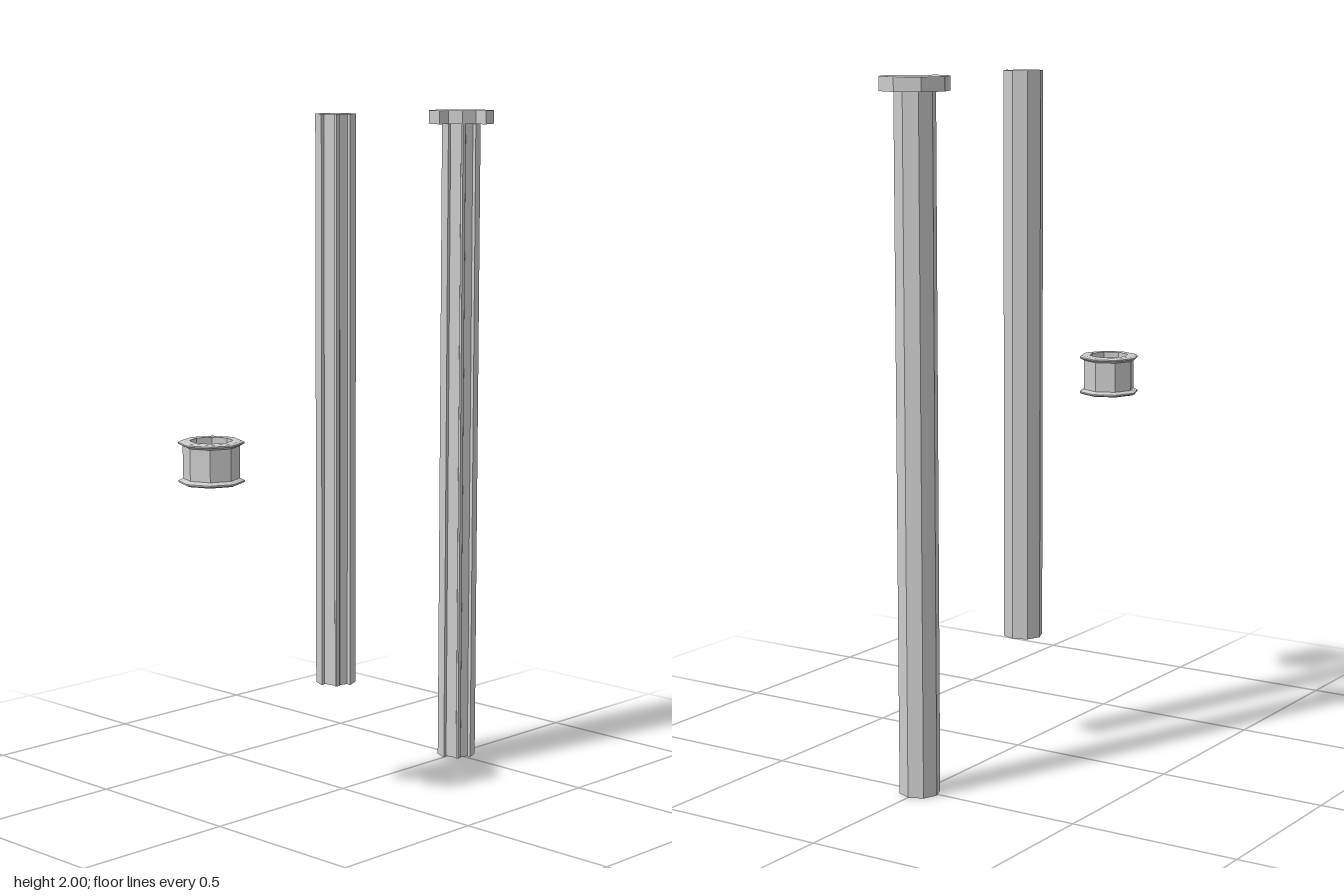
import * as THREE from 'three';

const grey = new THREE.MeshStandardMaterial({ color: 0xcccccc, flatShading: true });

// Seven vertices of an octagon, left round the back to the front, closed by a notch of [x, z] points.
function notchedPrism(name, radius, notch, height, x, y) {
  const points = [];
  for (let i = 0; i <= 6; i++) {
    const a = Math.PI + (i * Math.PI) / 4;
    points.push([radius * Math.cos(a), radius * Math.sin(a)]);
  }
  points.push(...notch);
  const shape = new THREE.Shape(points.map(([px, pz]) => new THREE.Vector2(px, -pz)));
  const geometry = new THREE.ExtrudeGeometry(shape, { depth: height, bevelEnabled: false });
  geometry.rotateX(-Math.PI / 2);
  const mesh = new THREE.Mesh(geometry, grey);
  mesh.name = name;
  mesh.position.set(x, y, 0);
  return mesh;
}

export function createModel() {
  const model = new THREE.Group();
  const rodRadius = 0.058;

  // Keyed groove running the length of both rods
  const groove = [
    [0.004, 0.043], [-0.02, 0.036], [-0.026, 0.041], [-0.038, 0.041],
    [-0.039, 0.034], [-0.035, 0.03], [-0.041, -0.006],
  ];
  model.add(notchedPrism('innerRod', rodRadius, groove, 1.665, -0.029, 0.335));

  // Long rod with a flanged head cut back to the rod over one quarter
  const pin = new THREE.Group();
  pin.name = 'headedRod';
  pin.add(notchedPrism('shaft', rodRadius, groove, 1.96, 0.509, 0));
  const headCut = [[0, 0.058], [-0.041, 0.041], [-0.058, 0]];
  pin.add(notchedPrism('head', 0.098, headCut, 0.04, 0.509, 1.96));
  model.add(pin);

  // Octagonal collar with a thin lip at each end
  const profile = [
    [0.06, 0.995], [0.084, 0.995], [0.092, 0.999], [0.092, 1.003], [0.079, 1.01],
    [0.079, 1.1], [0.092, 1.107], [0.092, 1.111], [0.084, 1.115], [0.06, 1.115], [0.06, 0.995],
  ].map(([r, y]) => new THREE.Vector2(r, y));
  const collar = new THREE.Mesh(new THREE.LatheGeometry(profile, 8), grey);
  collar.name = 'collar';
  collar.position.x = -0.519;
  model.add(collar);

  return model;
}
